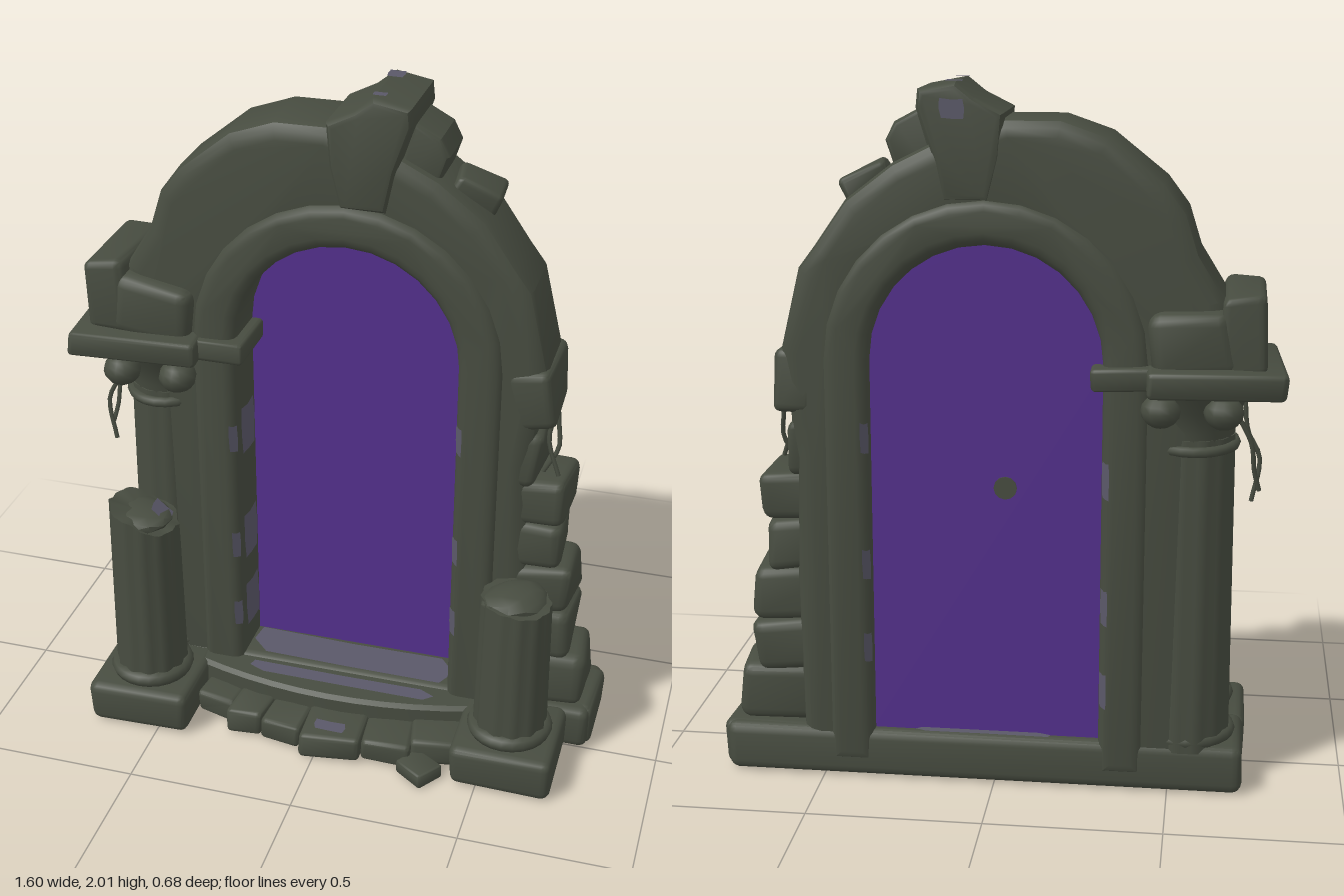
import * as THREE from 'three';
import { toCreasedNormals } from 'three/addons/utils/BufferGeometryUtils.js';
import { RoundedBoxGeometry } from 'three/addons/geometries/RoundedBoxGeometry.js';

const mat = (name, color, side = THREE.FrontSide) => {
  const m = new THREE.MeshStandardMaterial({ color, side });
  m.name = name;
  return m;
};

export function createModel() {
  const root = new THREE.Group();
  root.name = 'ruinedArchPortal';
  const stone = mat('mossy stone', 0x474c40);
  const portalMat = mat('portal purple', 0x53308c);
  const paleMat = mat('worn lilac stone', 0x5a5868, THREE.DoubleSide);

  const add = (name, geo, material = stone) => {
    const m = new THREE.Mesh(geo, material);
    m.name = name;
    root.add(m);
    return m;
  };

  // Gentle hand-carved waviness, the same for coincident vertices
  const weather = (geo, amp) => {
    const p = geo.attributes.position;
    for (let i = 0; i < p.count; i++) {
      const x = p.getX(i), y = p.getY(i), z = p.getZ(i);
      p.setXYZ(i,
        x + amp * Math.sin(17 * y + 23 * z + 5 * x),
        y + amp * Math.sin(19 * x + 13 * z + 1),
        z + amp * Math.sin(21 * x + 15 * y + 2));
    }
    return toCreasedNormals(geo, 0.7);
  };

  // Worn block given by its min and max corners, with an optional tilt
  const block = (name, [x0, x1], [y0, y1], [z0, z1], tilt = 0, turn = 0, amp = 0.007) => {
    const w = x1 - x0, h = y1 - y0, d = z1 - z0;
    const g = new RoundedBoxGeometry(w, h, d, 2, Math.min(w, h, d) * 0.2);
    g.rotateY(turn).rotateZ(tilt).translate((x0 + x1) / 2, (y0 + y1) / 2, (z0 + z1) / 2);
    return add(name, weather(g, amp));
  };

  // Bevelled extrusion along z whose full outline stays at the given shape
  const slab = (name, pts, z0, z1, bevel, size, material = stone, crease = 0.5) => {
    const g = new THREE.ExtrudeGeometry(poly(pts), {
      depth: z1 - z0 - 2 * bevel, bevelEnabled: bevel > 0, bevelThickness: bevel,
      bevelSize: size, bevelOffset: -size, bevelSegments: 3,
    });
    g.translate(0, 0, z0 + bevel);
    return add(name, toCreasedNormals(g, crease), material);
  };

  const poly = (pts) => new THREE.Shape(pts.map(([x, y]) => new THREE.Vector2(x, y)));
  // Arch line from bottom left, over the top, to bottom right
  const archLine = (half, y0) => {
    const pts = [[0.025 - half, y0]];
    for (let i = 0; i <= 14; i++) {
      const a = Math.PI * (1 - i / 14);
      pts.push([0.025 + half * Math.cos(a), 1.24 + half * Math.sin(a)]);
    }
    return [...pts, [0.025 + half, y0]];
  };

  // Wall and broken outer arch, open at the foot
  slab('outerArch', [
    [-0.57, 0.03], [-0.57, 1.15], [-0.63, 1.22], [-0.63, 1.43], [-0.555, 1.55], [-0.52, 1.66], [-0.46, 1.74],
    [-0.31, 1.86], [-0.18, 1.905], [-0.03, 1.905], [0.12, 1.86], [0.28, 1.78], [0.41, 1.68], [0.5, 1.55],
    [0.545, 1.49], [0.6, 1.26], [0.575, 1.05], [0.56, 0.95], [0.57, 0.6], [0.56, 0.03],
    ...archLine(0.36, 0.03).reverse(),
  ], -0.24, 0.015, 0.04, 0.05);

  // Rounded inner moulding around the opening
  slab('innerMoulding', [...archLine(0.455, 0.04), ...archLine(0.325, 0.04).reverse()],
    -0.255, 0.035, 0.035, 0.035, stone, 0.8);

  // Thick portal pane, set nearer the back, and the small stud on its back
  slab('portal', archLine(0.335, 0.13), -0.21, -0.135, 0, 0, portalMat);
  const stud = add('portalStud', new THREE.CylinderGeometry(0.033, 0.033, 0.006, 12));
  stud.rotation.x = Math.PI / 2;
  stud.position.set(-0.03, 0.88, -0.211);

  // Keystone and loose chunks beside it
  slab('keystone', [[0.01, 1.68], [0.14, 1.68], [0.165, 1.8], [0.21, 1.93], [0.205, 1.98],
    [0.1, 2], [0.05, 1.96], [-0.03, 1.92], [-0.02, 1.8]], -0.245, 0.03, 0.025, 0.02);
  slab('keystoneChunk', [[0.14, 1.72], [0.27, 1.75], [0.3, 1.84], [0.275, 1.89], [0.2, 1.93]],
    -0.2, -0.02, 0.02, 0.015);
  block('archChunk', [0.29, 0.43], [1.68, 1.76], [-0.18, -0.05], -0.5, 0.2);

  // Foundation and plinths
  block('foundation', [-0.71, 0.79], [0, 0.14], [-0.25, 0.02], 0, 0, 0.003);
  block('rightFoundationStone', [0.52, 0.8], [0, 0.14], [-0.235, 0.0], 0, 0, 0.004);
  block('leftPlinth', [-0.715, -0.4], [0, 0.135], [-0.01, 0.29], 0, 0, 0.004);
  block('rightPlinth', [0.42, 0.725], [0, 0.135], [-0.01, 0.29], 0, 0, 0.004);

  // Curved upper step
  const step = new THREE.Shape();
  step.moveTo(-0.43, 0);
  step.lineTo(-0.43, -0.06);
  step.quadraticCurveTo(0, -0.2, 0.44, -0.07);
  step.lineTo(0.44, 0);
  const stepGeo = new THREE.ExtrudeGeometry(step, {
    depth: 0.1, bevelThickness: 0.012, bevelSize: 0.012, bevelSegments: 1, curveSegments: 10,
  });
  add('upperStep', toCreasedNormals(stepGeo.rotateX(-Math.PI / 2).translate(0, 0.02, 0), 0.5));

  // Lower step stones: left edge, right edge, front reach
  [[-0.4, -0.27, 0.175], [-0.28, -0.165, 0.235], [-0.17, -0.045, 0.25], [-0.05, 0.135, 0.28],
    [0.13, 0.28, 0.255], [0.27, 0.43, 0.215]].forEach(([a, b, z], i) =>
    block('stepStone', [a, b], [0, 0.075 + 0.008 * (i % 2)], [0.02, z], 0, (i - 2.5) * 0.06, 0.005));
  block('looseStepStone', [0.27, 0.38], [0, 0.045], [0.22, 0.31], 0, -0.6, 0.003);

  // Jagged stones on the right edge: bottom, top, reach
  [[0.135, 0.31, 0.76], [0.305, 0.46, 0.71], [0.455, 0.615, 0.705], [0.615, 0.765, 0.665],
    [0.76, 0.9, 0.675], [0.89, 1.06, 0.59]].forEach(([a, b, x], i) =>
    block('edgeStone', [0.45, x], [a, b], [-0.205 - 0.01 * (i % 2), 0.005], i % 2 ? -0.05 : 0.02));
  block('rightImpost', [0.5, 0.625], [1.08, 1.26], [-0.235, 0.02], 0.12);

  // Fluted shaft with a broken, sloping top
  const shaft = (name, x, z, r, y0, y1, slope, flute, zScale = 1) => {
    const h = y1 - y0;
    const g = new THREE.CylinderGeometry(r * 0.94, r, h, 48, 4);
    const p = g.attributes.position;
    for (let i = 0; i < p.count; i++) {
      const px = p.getX(i), pz = p.getZ(i), py = p.getY(i);
      const f = 1 - flute * Math.cos(6 * Math.atan2(pz, px)) ** 2;
      const drop = py > h / 2 - 0.001 ? slope * (0.5 + px / r / 2) + slope * 0.1 * Math.sin(40 * px + 50 * pz) : 0;
      p.setXYZ(i, px * f, py - drop, pz * f * zScale);
    }
    g.translate(x, (y0 + y1) / 2, z);
    return add(name, toCreasedNormals(g, 0.6));
  };
  const collar = (name, x, y, z, r, tube, zScale = 1) => {
    const g = new THREE.TorusGeometry(r, tube, 8, 24).rotateX(Math.PI / 2).scale(1, 1, zScale);
    return add(name, g.translate(x, y, z));
  };

  // Broken free-standing columns
  [['left', -0.558, 0.145, 0.74, 0.085], ['right', 0.572, 0.14, 0.61, 0.025]].forEach(([side, x, z, top, slope]) => {
    shaft(side + 'Column', x, z, 0.11, 0.12, top, slope, 0.06);
    collar(side + 'ColumnFoot', x, 0.155, z, 0.103, 0.024);
    const rubble = new THREE.IcosahedronGeometry(0.095, 1).scale(1, 0.35, 1);
    add(side + 'ColumnRubble', weather(rubble.translate(x - 0.005, top - slope * 0.6, z), 0.006));
  });

  // Tall left pilaster with its capital
  const px = -0.55, pz = -0.11;
  shaft('pilaster', px, pz, 0.125, 0.12, 1.04, 0, 0.04, 1.15);
  collar('pilasterFoot', px, 0.15, pz, 0.12, 0.02, 1.02);
  collar('pilasterNeck', px, 1.01, pz, 0.115, 0.015, 1.2);
  const bell = new THREE.LatheGeometry([[0.11, 1.0], [0.115, 1.06], [0.135, 1.12], [0.17, 1.19]]
    .map(([r, y]) => new THREE.Vector2(r, y)), 24).scale(1, 1, 1.15);
  add('capitalBell', bell.translate(px, 0, pz));
  for (const x of [-0.63, -0.46]) for (const z of [0.07, -0.27]) {
    const curl = new THREE.SphereGeometry(0.05, 12, 8).scale(1.1, 0.95, 1.1);
    add('capitalCurl', curl.translate(x, 1.13, z));
  }
  block('capitalSlab', [-0.79, -0.41], [1.17, 1.245], [-0.335, 0.115], 0, 0.04, 0.006);
  block('capitalArm', [-0.45, -0.27], [1.18, 1.245], [-0.28, 0.06], 0, 0, 0.004);
  block('upperLeftBlock', [-0.74, -0.62], [1.23, 1.45], [-0.28, 0.055], 0.03);
  block('upperRightBlock', [-0.66, -0.43], [1.22, 1.4], [-0.285, 0.06], -0.12);

  // Hanging dry roots
  [[[-0.69, 1.12], [-0.7, 1.03], [-0.735, 0.95], [-0.715, 0.82]],
    [[-0.66, 1.1], [-0.71, 1.0], [-0.72, 0.92], [-0.735, 0.86]],
    [[0.6, 1.22], [0.615, 1.1], [0.605, 1.02], [0.64, 0.91]],
    [[0.61, 1.18], [0.625, 1.05], [0.63, 0.98], [0.59, 0.9]]].forEach((pts, i) => {
    const path = new THREE.CatmullRomCurve3(pts.map(([x, y], k) => new THREE.Vector3(x, y, -0.08 - 0.03 * (i % 2) + 0.01 * k)));
    add('hangingRoot', new THREE.TubeGeometry(path, 12, 0.007, 5));
  });

  // Pale worn patches with ragged, nearly square outlines
  const patch = (name, x, y, z, w, h, rx, ry) => {
    const pts = [0, 1, 2, 3, 4, 5, 6, 7].map((i) => {
      const a = i * Math.PI / 4, r = [0.5, 0.6, 0.4, 0.66, 0.48, 0.56, 0.44, 0.64][i];
      return [w * r * Math.cos(a), h * r * Math.sin(a)];
    });
    const m = add(name, new THREE.ShapeGeometry(poly(pts)), paleMat);
    m.position.set(x, y, z);
    m.rotation.set(rx, ry, 0);
  };
  const flat = -Math.PI / 2, side = Math.PI / 2;
  patch('frontSillPatch', 0.025, 0.146, -0.06, 0.66, 0.14, flat, 0);
  patch('backSillPatch', 0.03, 0.145, -0.222, 0.4, 0.03, flat, 0);
  patch('stepPatch', 0.02, 0.135, 0.06, 0.6, 0.055, flat, 0);
  patch('stepStonePatch', 0.04, 0.09, 0.23, 0.1, 0.05, flat, 0);
  patch('leftColumnPatch', -0.5, 0.712, 0.145, 0.07, 0.07, flat, 0.65);
  patch('keystoneTopPatch', 0.11, 2.001, -0.19, 0.05, 0.06, flat, 0);
  patch('keystoneTopPatch', 0.11, 2.001, -0.02, 0.04, 0.03, flat, 0);
  patch('keystoneBackPatch', 0.11, 1.93, -0.247, 0.07, 0.06, 0, Math.PI);
  for (const y of [0.3, 0.55, 0.92]) {
    patch('leftJambPatch', -0.297, y, -0.065, 0.12, 0.18, 0, side);
    patch('rightJambPatch', 0.347, y + 0.1, -0.065, 0.11, 0.16, 0, -side);
    // Chips on the rounded front and back lips
    patch('leftFrontChip', -0.312, y, 0.027, 0.03, 0.1, 0, side / 2);
    patch('rightFrontChip', 0.362, y + 0.1, 0.027, 0.03, 0.1, 0, -side / 2);
    patch('leftBackChip', -0.312, y, -0.247, 0.03, 0.12, 0, side * 1.5);
    patch('rightBackChip', 0.362, y + 0.1, -0.247, 0.03, 0.1, 0, -side * 1.5);
  }
  return root;
}
